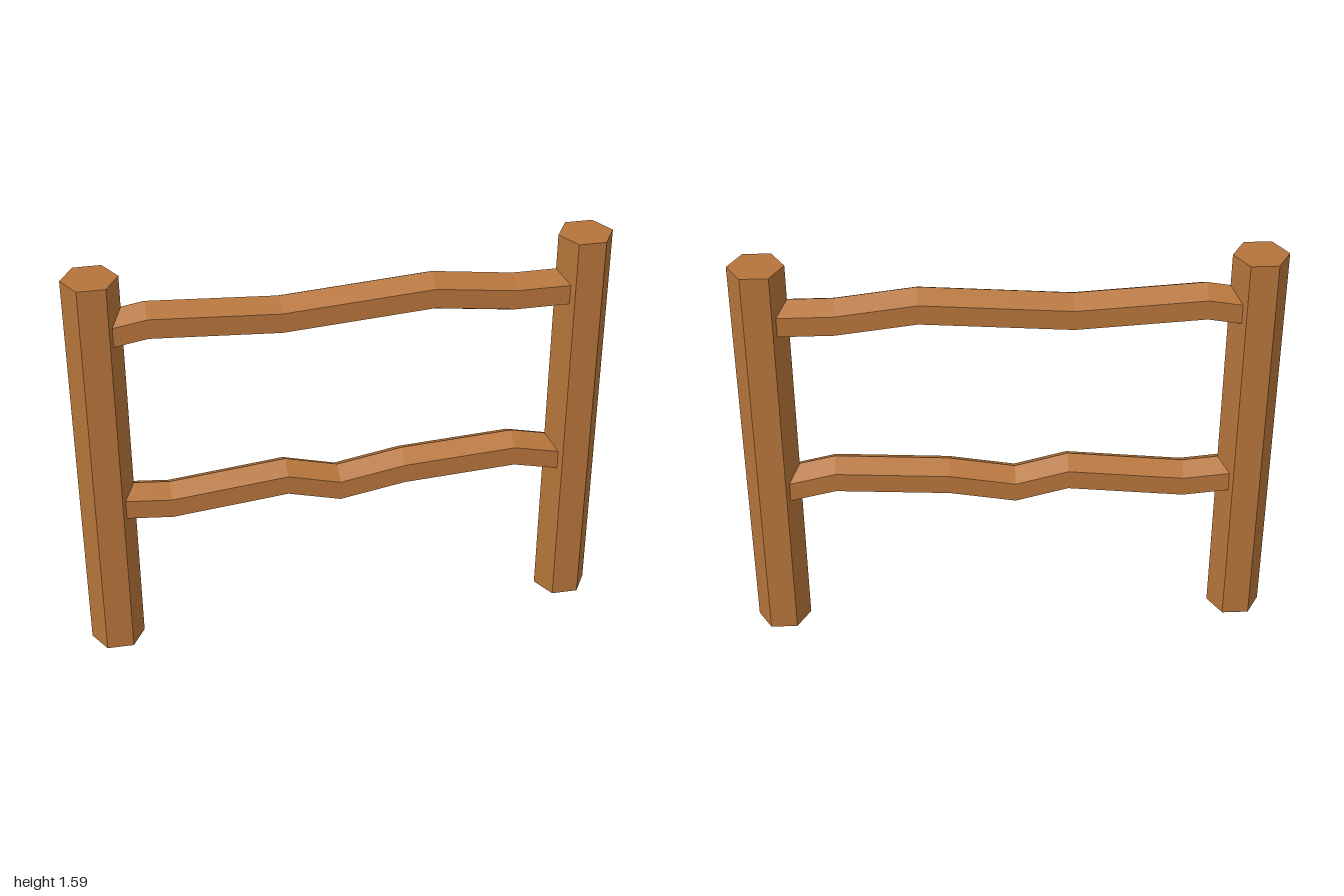
import * as THREE from 'three';

const wood = new THREE.MeshStandardMaterial({ color: 0xb5743a, flatShading: true, side: THREE.DoubleSide });
const POST_RADIUS = 0.1025, POST_HEIGHT = 1.59, POST_X = 1 - POST_RADIUS;
const RAIL_RADIUS = 0.0775;

// Hexagonal post with a corner facing along x; closed on top, open underneath
function makePost(name, x) {
  const geo = new THREE.CylinderGeometry(POST_RADIUS, POST_RADIUS, POST_HEIGHT, 6, 1, false, Math.PI / 6);
  const bottomCap = geo.groups[2];
  geo.setIndex(Array.from(geo.index.array).slice(0, bottomCap.start));
  geo.clearGroups();
  geo.translate(x, POST_HEIGHT / 2, 0);
  const mesh = new THREE.Mesh(geo, wood);
  mesh.name = name;
  return mesh;
}

// Crooked hexagonal rail: each ring of a straight bar is moved to its [x, height of top ridge] station
function makeRail(name, stations) {
  const segments = stations.length - 1;
  const geo = new THREE.CylinderGeometry(RAIL_RADIUS, RAIL_RADIUS, 1, 6, segments, false, Math.PI / 6);
  geo.rotateZ(Math.PI / 2);
  const pos = geo.attributes.position;
  for (let i = 0; i < pos.count; i++) {
    const [x, top] = stations[Math.round((pos.getX(i) + 0.5) * segments)];
    pos.setX(i, x);
    pos.setY(i, pos.getY(i) + top - RAIL_RADIUS);
  }
  geo.computeVertexNormals();
  const mesh = new THREE.Mesh(geo, wood);
  mesh.name = name;
  return mesh;
}

export function createModel() {
  const fence = new THREE.Group();
  fence.name = 'fence';

  // Posts
  fence.add(makePost('leftPost', POST_X), makePost('rightPost', -POST_X));

  // Rails, with their ends sunk into the posts
  fence.add(makeRail('upperRail', [
    [-0.88, 1.45], [-0.71, 1.48], [-0.23, 1.45], [0.33, 1.49], [0.63, 1.452], [0.88, 1.452],
  ]));
  fence.add(makeRail('lowerRail', [
    [-0.88, 0.716], [-0.66, 0.695], [-0.22, 0.742], [-0.02, 0.69], [0.23, 0.735], [0.66, 0.76], [0.88, 0.71],
  ]));
  return fence;
}
